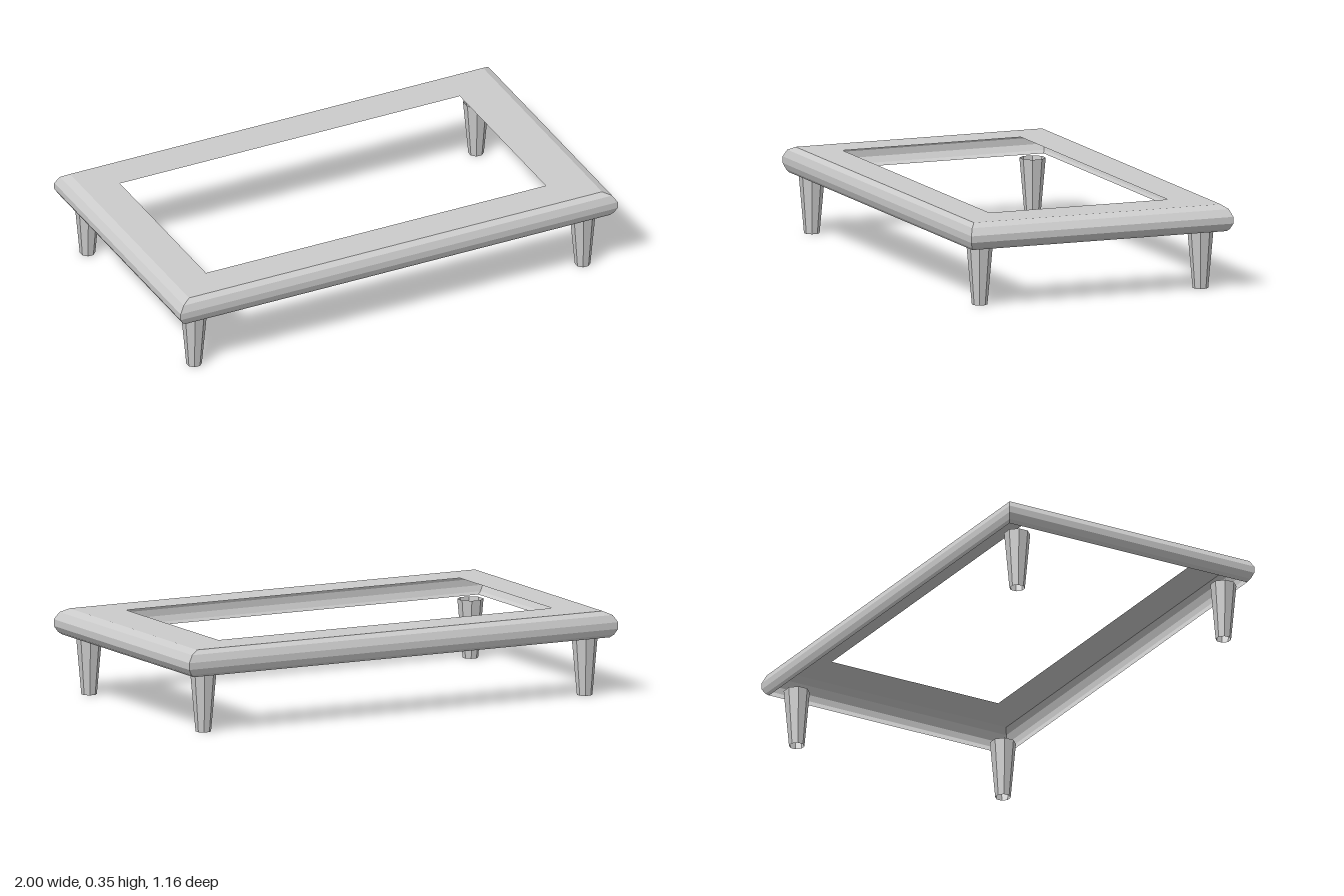
import * as THREE from 'three';

const material = new THREE.MeshStandardMaterial({
  color: 0xcccccc, flatShading: true, side: THREE.DoubleSide,
});

function addMesh(parent, geometry, name) {
  const mesh = new THREE.Mesh(geometry, material);
  mesh.name = name;
  parent.add(mesh);
  return mesh;
}

// Rim section from the top edge down: half width, half depth, height
const RIM = [
  [0.945, 0.548, 0.354],
  [0.98, 0.57, 0.338],
  [1, 0.582, 0.308],
  [1, 0.582, 0.28],
  [0.985, 0.573, 0.256],
  [0.97, 0.565, 0.245],
];

// Mitred rectangular rings joined into an open shell
function rimGeometry() {
  const corners = [[1, 1], [1, -1], [-1, -1], [-1, 1]];
  const points = [];
  const index = [];
  RIM.forEach(([w, d, y], ring) => {
    corners.forEach(([sx, sz], i) => {
      points.push(sx * w, y, sz * d);
      if (ring === 0) return;
      const upper = (ring - 1) * 4;
      const lower = ring * 4;
      const j = (i + 1) % 4;
      index.push(upper + i, lower + i, lower + j, upper + i, lower + j, upper + j);
    });
  });
  const indexed = new THREE.BufferGeometry();
  indexed.setAttribute('position', new THREE.Float32BufferAttribute(points, 3));
  indexed.setIndex(index);
  const geometry = indexed.toNonIndexed();
  geometry.computeVertexNormals();
  return geometry;
}

// Flat top sheet with a rectangular opening
function topGeometry() {
  const [w, d, y] = RIM[0];
  const rectangle = (x0, y0, x1, y1) => [
    new THREE.Vector2(x0, y0), new THREE.Vector2(x1, y0),
    new THREE.Vector2(x1, y1), new THREE.Vector2(x0, y1),
  ];
  const shape = new THREE.Shape(rectangle(-w, -d, w, d));
  shape.holes.push(new THREE.Path(rectangle(-0.795, -0.402, 0.76, 0.39)));
  return new THREE.ShapeGeometry(shape).rotateX(-Math.PI / 2).translate(0, y, 0);
}

export function createModel() {
  const model = new THREE.Group();
  model.name = 'lowTableFrame';

  addMesh(model, topGeometry(), 'topFrame');
  addMesh(model, rimGeometry(), 'roundedRim');

  // Tapered, open eight-sided legs standing under the corners
  const height = 0.245;
  const legGeometry = new THREE.CylinderGeometry(0.054, 0.032, height, 8, 1, true)
    .rotateY(Math.PI / 8)
    .translate(0, height / 2, 0);
  for (const [side, x] of [['Left', 0.882], ['Right', -0.896]]) {
    for (const [end, z] of [['front', 0.496], ['back', -0.485]]) {
      addMesh(model, legGeometry, `${end}${side}Leg`).position.set(x, 0, z);
    }
  }
  return model;
}
